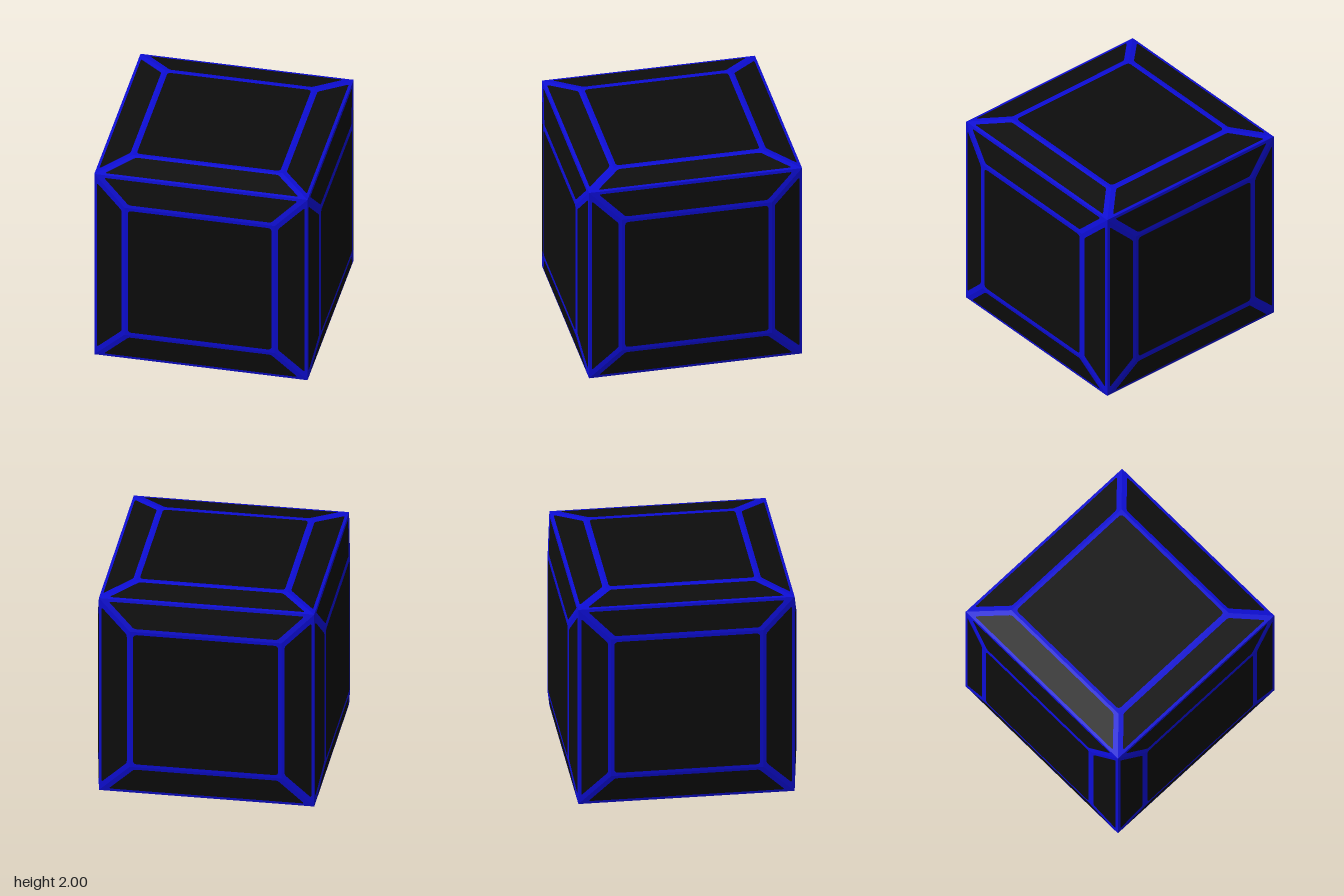
import * as THREE from 'three';
import { mergeGeometries } from 'three/addons/utils/BufferGeometryUtils.js';

const EDGE = 0.947;  // half size at the cube corners
const FLAT = 0.667;  // half size of the raised centre of each side

// Polygon with softly rounded corners
function roundedPolygon(points, r) {
  const corners = points.map(([x, y]) => new THREE.Vector2(x, y));
  const shape = new THREE.Shape();
  corners.forEach((p, i) => {
    const n = corners.length;
    const toward = (q) => q.clone().sub(p).setLength(r).add(p);
    const a = toward(corners[(i + n - 1) % n]);
    const b = toward(corners[(i + 1) % n]);
    if (i === 0) shape.moveTo(a.x, a.y); else shape.lineTo(a.x, a.y);
    shape.quadraticCurveTo(p.x, p.y, b.x, b.y);
  });
  shape.closePath();
  return shape;
}

const polygon = (points) => new THREE.Shape(points.map(([x, y]) => new THREE.Vector2(x, y)));
const square = (h) => [[-h, -h], [h, -h], [h, h], [-h, h]];
const trapezoid = (low, lowHalf, high, highHalf) =>
  [[-lowHalf, low], [lowHalf, low], [highHalf, high], [-highHalf, high]];

// Flat sheet lifted onto the side: level in the centre, sloping to the edges
function sheet(shape) {
  const geometry = new THREE.ShapeGeometry(shape, 4);
  const pos = geometry.attributes.position;
  for (let i = 0; i < pos.count; i++) {
    const m = Math.max(Math.abs(pos.getX(i)), Math.abs(pos.getY(i)));
    pos.setZ(i, 1 - Math.max(0, m - FLAT) * (1 - EDGE) / (EDGE - FLAT));
  }
  geometry.computeVertexNormals();
  return geometry;
}

const fourTimes = (geometry) =>
  [0, 1, 2, 3].map((i) => geometry.clone().rotateZ(i * Math.PI / 2));

export function createModel() {
  const black = new THREE.MeshStandardMaterial({ color: 0x0d0d0d });
  black.name = 'black panel';
  const blue = new THREE.MeshStandardMaterial({ color: 0x0d0dd6 });
  blue.name = 'blue trim';

  // Dark panels: centre square and one sloping border
  const centre = roundedPolygon(square(0.638), 0.035);
  const border = roundedPolygon(trapezoid(0.694, 0.632, 0.922, 0.86), 0.02);

  // Blue trim around the panels
  const centreTrim = polygon(square(FLAT));
  centreTrim.holes.push(centre);
  const borderTrim = polygon(trapezoid(FLAT, FLAT, EDGE, EDGE));
  borderTrim.holes.push(border);

  const borders = mergeGeometries(fourTimes(sheet(border)));
  const trim = mergeGeometries([sheet(centreTrim), ...fourTimes(sheet(borderTrim))]);
  const parts = [
    ['centrePanel', sheet(centre), black],
    ['borderPanels', borders, black],
    ['trim', trim, blue],
  ];

  // Six identical sides
  const q = Math.PI / 2;
  const sides = {
    front: [0, 0], left: [0, q], back: [0, 2 * q], right: [0, -q],
    top: [-q, 0], bottom: [q, 0],
  };
  const model = new THREE.Group();
  model.name = 'panelledCube';
  for (const [name, [rx, ry]] of Object.entries(sides)) {
    const side = new THREE.Group();
    side.name = name + 'Side';
    side.rotation.set(rx, ry, 0);
    side.position.y = 1;
    for (const [part, geometry, material] of parts) {
      const mesh = new THREE.Mesh(geometry, material);
      mesh.name = part;
      side.add(mesh);
    }
    model.add(side);
  }
  return model;
}
